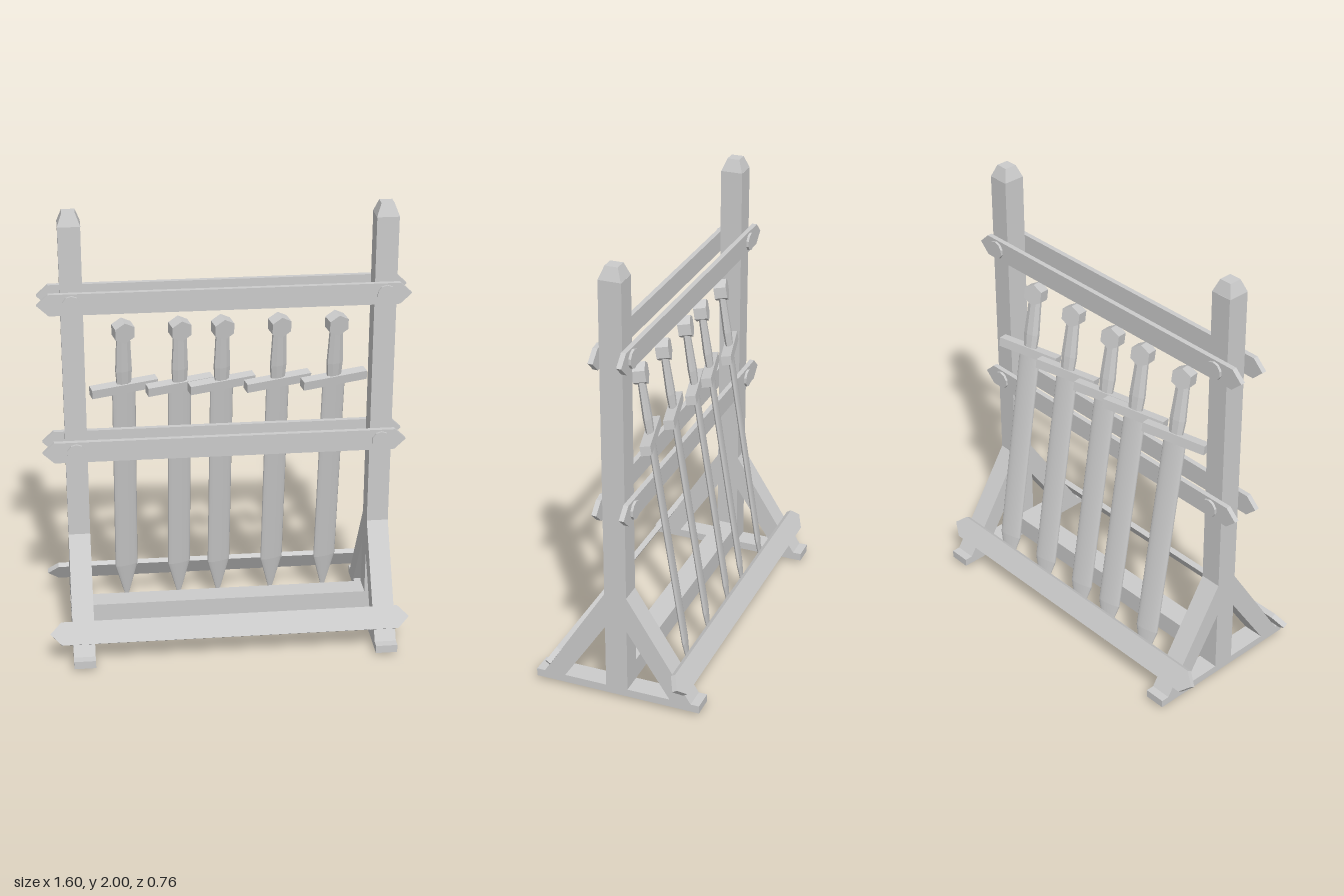
import * as THREE from 'three';

const grey = new THREE.MeshStandardMaterial({ color: 0xcccccc });
const greyFlat = new THREE.MeshStandardMaterial({ color: 0xcccccc, flatShading: true });

function add(parent, name, geometry, x = 0, y = 0, z = 0, material = greyFlat) {
  const mesh = new THREE.Mesh(geometry, material);
  mesh.name = name;
  mesh.position.set(x, y, z);
  parent.add(mesh);
  return mesh;
}

const polygon = (points) => new THREE.Shape(points.map(([x, y]) => new THREE.Vector2(x, y)));

// Extrusion centred on its own depth
function slab(points, depth) {
  const geometry = new THREE.ExtrudeGeometry(polygon(points), { depth, bevelEnabled: false });
  return geometry.translate(0, 0, -depth / 2);
}

// Long board with pointed ends
const board = (height, thickness) => {
  const h = height / 2;
  return slab([[-0.8, 0], [-0.75, -h], [0.75, -h], [0.8, 0], [0.75, h], [-0.75, h]], thickness);
};

const POSTS = [-0.653, 0.69];
const POST_W = 0.096;

function createSideFrame(x) {
  const frame = new THREE.Group();
  frame.name = 'sideFrame';
  frame.position.x = x;
  add(frame, 'post', new THREE.BoxGeometry(POST_W, 1.89, 0.1), 0, 1.0, 0);
  // Tapered post top
  const cap = new THREE.CylinderGeometry(0.028 * Math.SQRT2, 0.049 * Math.SQRT2, 0.055, 4).rotateY(Math.PI / 4);
  add(frame, 'postTop', cap, 0, 1.9725, 0);
  add(frame, 'foot', new THREE.BoxGeometry(POST_W, 0.036, 0.76), 0, 0.037, 0);
  // Slanted braces on both sides of the post
  const brace = slab([[0.05, 0.35], [0.245, 0.055], [0.342, 0.055], [0.05, 0.515]], POST_W);
  for (const side of [1, -1]) {
    add(frame, 'brace', brace).rotation.y = -side * Math.PI / 2;
  }
  // Bolts through the rails
  const bolt = new THREE.CylinderGeometry(0.041, 0.041, 0.166, 10).rotateX(Math.PI / 2);
  for (const y of [1.61, 0.925]) add(frame, 'bolt', bolt, 0, y, 0);
  return frame;
}

function createSword(x) {
  const sword = new THREE.Group();
  sword.name = 'sword';
  // Point at the local origin, leaning forward and twisted about its own length
  sword.position.set(x, 0, -0.25);
  sword.rotation.set(THREE.MathUtils.degToRad(9), THREE.MathUtils.degToRad(15), 0);

  // Lens-shaped blade and its point
  const shoulder = 0.21, guardY = 1.185;
  const blade = new THREE.CylinderGeometry(1, 1, guardY - shoulder, 16).scale(0.054, 1, 0.012);
  add(sword, 'blade', blade, 0, (guardY + shoulder) / 2, 0, grey);
  const tip = new THREE.CylinderGeometry(1, 0, shoulder, 16, 1, true).scale(0.054, 1, 0.012);
  add(sword, 'bladeTip', tip, 0, shoulder / 2, 0, grey);

  add(sword, 'guard', new THREE.BoxGeometry(0.302, 0.042, 0.045), 0, guardY, 0);

  // Slightly swelling grip
  const profile = [[0, 0], [0.034, 0], [0.039, 0.07], [0.035, 0.16], [0.032, 0.24], [0, 0.24]];
  const grip = new THREE.LatheGeometry(profile.map(([r, y]) => new THREE.Vector2(r, y)), 8, Math.PI / 8);
  add(sword, 'grip', grip.scale(1, 1, 0.5), 0, guardY + 0.015, 0);

  // Six-sided pommel, corner up
  const pommel = new THREE.CylinderGeometry(0.05, 0.05, 0.056, 6).rotateX(Math.PI / 2);
  add(sword, 'pommel', pommel, 0, 1.468, 0);
  return sword;
}

export function createModel() {
  const model = new THREE.Group();
  model.name = 'swordRack';

  for (const x of POSTS) model.add(createSideFrame(x));

  // Paired rails on the front and back of the posts
  const rail = board(0.095, 0.022);
  for (const y of [1.61, 0.925]) {
    for (const side of [1, -1]) add(model, 'rail', rail, 0, y, side * 0.061);
  }

  // Low boards lying on the slanted braces
  const lean = Math.atan2(0.292, 0.46);
  const lowBoard = board(0.102, 0.024);
  for (const side of [1, -1]) {
    add(model, 'lowBoard', lowBoard, 0, 0.15, side * 0.294).rotation.x = -side * lean;
  }

  // Floor beam between the posts
  const span = POSTS[1] - POSTS[0] - POST_W;
  add(model, 'floorBeam', new THREE.BoxGeometry(span, 0.095, 0.1), (POSTS[0] + POSTS[1]) / 2, 0.1025, 0);

  for (const x of [-0.435, -0.19, -0.005, 0.243, 0.493]) model.add(createSword(x));

  return model;
}
